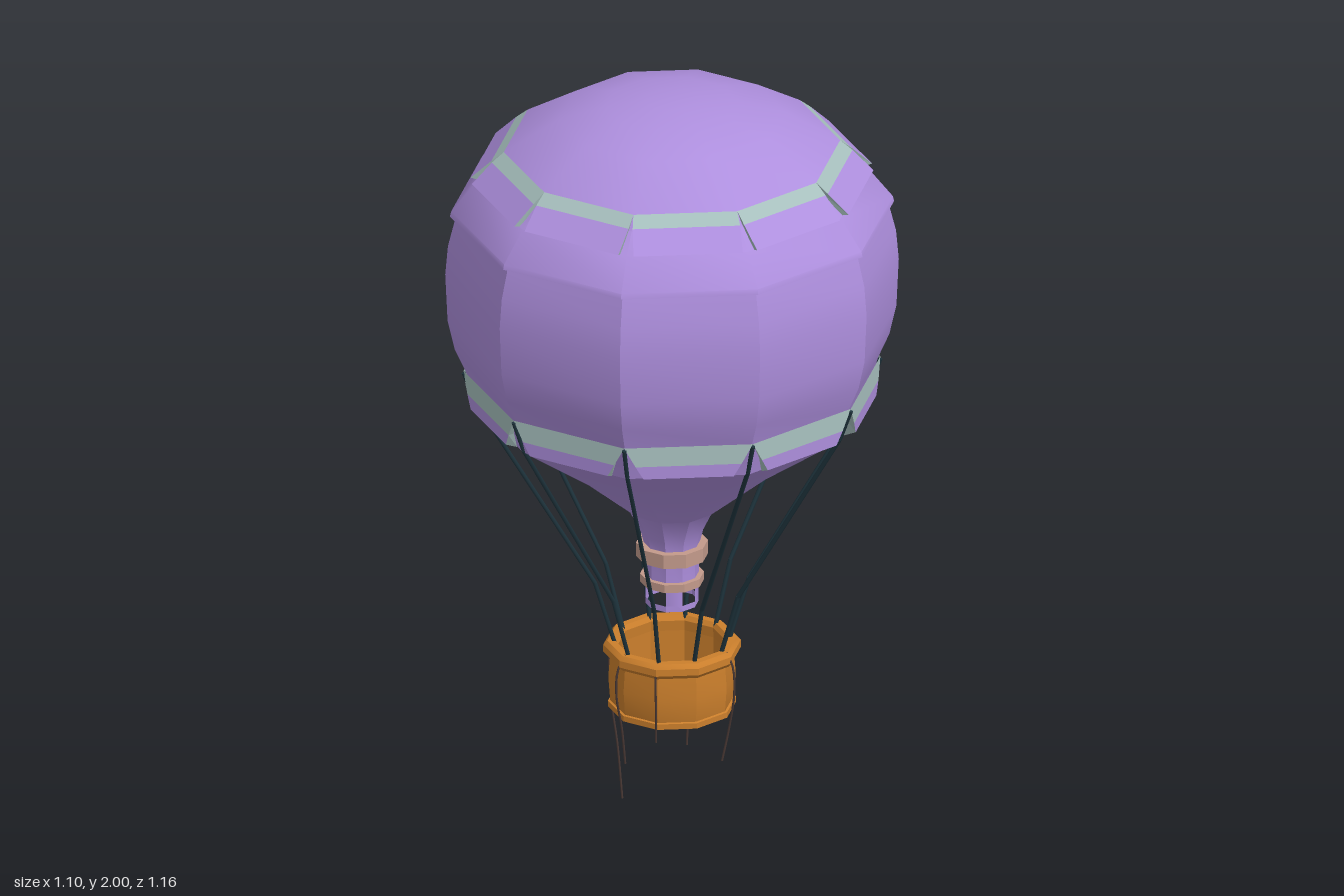
import * as THREE from 'three';
import { toCreasedNormals } from 'three/addons/utils/BufferGeometryUtils.js';

const SIDES = 10;
const STEP = (Math.PI * 2) / SIDES;

function material(name, color, side = THREE.FrontSide) {
  const m = new THREE.MeshStandardMaterial({ color, side });
  m.name = name;
  return m;
}

export function createModel() {
  const purple = material('purple cloth', 0xae8fde, THREE.DoubleSide);
  const green = material('pale green trim', 0xa6bfbd, THREE.DoubleSide);
  const orange = material('orange wicker', 0xcb7f2c, THREE.DoubleSide);
  const tan = material('tan collar', 0xc39a8b);
  const dark = material('dark rope', 0x1d323b);
  const brown = material('brown cord', 0x4b3a36);
  const steel = material('burner steel', 0x9fb2c6);

  const model = new THREE.Group();
  model.name = 'hotAirBalloon';

  function add(name, geometry, mat, parent = model) {
    const mesh = new THREE.Mesh(geometry, mat);
    mesh.name = name;
    parent.add(mesh);
    return mesh;
  }
  // Ten-sided turned part: smooth up each gore, sharp between gores
  function turned(name, profile, mat, crease = 0.55) {
    const pts = profile.map(([r, y]) => new THREE.Vector2(r, y));
    return add(name, toCreasedNormals(new THREE.LatheGeometry(pts, SIDES), crease), mat);
  }
  function group(name) {
    const g = new THREE.Group();
    g.name = name;
    model.add(g);
    return g;
  }
  const polar = (a, r, y) => new THREE.Vector3(r * Math.sin(a), y, r * Math.cos(a));

  // Envelope: funnel, gores, shoulder lip and crown
  turned('funnel', [[0.068, 0.65], [0.07, 0.75], [0.08, 0.79], [0.115, 0.86], [0.28, 1.0], [0.5, 1.158]], purple);
  turned('gores', [[0.5, 1.158], [0.527, 1.255], [0.556, 1.32], [0.574, 1.4], [0.58, 1.53], [0.573, 1.61], [0.553, 1.69]], purple);
  turned('shoulderLip', [[0.553, 1.69], [0.568, 1.692], [0.565, 1.706], [0.503, 1.785]], purple);
  turned('crownLining', [[0.503, 1.785], [0.45, 1.83], [0.428, 1.866]], purple);
  turned('crown', [[0.43, 1.868], [0.29, 1.953], [0.17, 1.986], [0.07, 1.999], [0, 2.0]], purple);

  // Hem with a coloured band and a notch at every corner; rows are [radius, y, notch share of side]
  function hem(name, rows, inner) {
    const band = [], flap = [], reveal = [];
    const quad = (out, a, b, c, d) => {
      for (const p of [a, b, c, a, c, d]) out.push(p.x, p.y, p.z);
    };
    for (let i = 0; i < SIDES; i++) {
      const at = ([r, y, t], end) =>
        polar(i * STEP, r, y).lerp(polar((i + 1) * STEP, r, y), end ? 1 - t : t);
      const [top, mid, low] = rows;
      quad(band, at(mid, 0), at(mid, 1), at(top, 1), at(top, 0));
      quad(flap, at(low, 0), at(low, 1), at(mid, 1), at(mid, 0));
      quad(flap, at(inner, 0), at(inner, 1), at(low, 1), at(low, 0));
      const back = [mid[0] - 0.018, mid[1], mid[2]];
      for (const e of [0, 1]) {
        const edges = [[at(top, e), at(mid, e), at(back, e), at(top, e)],
          [at(mid, e), at(low, e), at(inner, e), at(back, e)]];
        for (const q of edges) quad(reveal, ...(e ? q : q.reverse()));
      }
    }
    const g = group(name);
    [['trimBand', band, green], ['flaps', flap, purple], ['notchEdges', reveal, green]].forEach(([n, p, m]) => {
      const geo = new THREE.BufferGeometry();
      geo.setAttribute('position', new THREE.Float32BufferAttribute(p, 3));
      geo.computeVertexNormals();
      add(n, geo, m, g);
    });
  }
  hem('crownHem', [[0.43, 1.868, 0], [0.463, 1.842, 0.02], [0.52, 1.79, 0.065]], [0.5, 1.784, 0.065]);
  hem('lowerHem', [[0.533, 1.258, 0], [0.535, 1.205, 0.09], [0.534, 1.17, 0.15]], [0.498, 1.154, 0.15]);

  // Mouth: collars, hanging flaps and burner
  const collar = (name, r, y0, y1) =>
    turned(name, [[0.06, y0], [r, y0], [r, y1], [0.06, y1]], tan, 0.3);
  collar('upperCollar', 0.092, 0.722, 0.76);
  collar('lowerCollar', 0.082, 0.65, 0.672);
  turned('mouthHem', [[0.068, 0.59], [0.068, 0.606]], purple, 0.3);
  const flaps = group('mouthFlaps');
  for (const k of [1, 3, 6, 8]) {
    add('mouthFlap', new THREE.CylinderGeometry(0.068, 0.068, 0.06, 1, 1, true, k * STEP, STEP), purple, flaps)
      .position.y = 0.62;
  }
  const burner = add('burner', new THREE.CylinderGeometry(0.02, 0.016, 0.035, 8), steel);
  burner.position.y = 0.63;

  // Basket: open tub with padded rim and foot
  turned('basket', [[0, 0.3], [0.152, 0.3], [0.158, 0.32], [0.163, 0.385], [0.158, 0.45],
    [0.14, 0.46], [0.14, 0.33], [0, 0.33]], orange, 0.5);
  turned('basketRim', [[0.14, 0.447], [0.168, 0.447], [0.177, 0.458], [0.176, 0.476], [0.166, 0.487],
    [0.146, 0.487], [0.138, 0.475], [0.14, 0.447]], orange, 0.5);
  turned('basketFoot', [[0.15, 0.3], [0.164, 0.303], [0.164, 0.318], [0.15, 0.322]], orange, 0.5);

  // Bent suspension ropes from the hem notches to the rim
  const ropes = group('suspensionRopes');
  function strand(a, b, r, parent) {
    const rod = add('ropeSegment', new THREE.CylinderGeometry(r, r, a.distanceTo(b), 6), dark, parent);
    rod.position.copy(a).lerp(b, 0.5);
    rod.quaternion.setFromUnitVectors(new THREE.Vector3(0, 1, 0), b.clone().sub(a).normalize());
  }
  for (let i = 0; i < SIDES; i++) {
    const path = [[0.145, 0.475], [0.197, 0.65], [0.5, 1.165], [0.533, 1.252]].map(([r, y]) => polar(i * STEP, r, y));
    for (let k = 0; k < 3; k++) strand(path[k], path[k + 1], 0.006, ropes);
  }

  // Loose cords trailing over the rim
  const cords = group('trailingCords');
  const cordPaths = [
    [[-0.155, 0.487, 0.05], [-0.177, 0.44, 0.055], [-0.168, 0.28, 0.06], [-0.155, 0.15, 0.05], [-0.142, 0.002, 0.045]],
    [[-0.1, 0.487, -0.13], [-0.107, 0.44, -0.147], [-0.11, 0.3, -0.145], [-0.1, 0.2, -0.14], [-0.103, 0.11, -0.139]],
    [[0.155, 0.487, -0.05], [0.173, 0.45, -0.055], [0.178, 0.38, -0.056], [0.158, 0.27, -0.055], [0.143, 0.18, -0.045]],
    [[0, 0.487, 0.155], [-0.004, 0.45, 0.178], [-0.006, 0.38, 0.182], [-0.004, 0.28, 0.165], [-0.005, 0.18, 0.153]],
    [[0.09, 0.487, 0.125], [0.102, 0.45, 0.143], [0.104, 0.36, 0.143], [0.098, 0.27, 0.138]],
  ];
  for (const path of cordPaths) {
    const curve = new THREE.CatmullRomCurve3(path.map((p) => new THREE.Vector3(...p)));
    add('trailingCord', new THREE.TubeGeometry(curve, 16, 0.003, 5), brown, cords);
  }

  return model;
}
